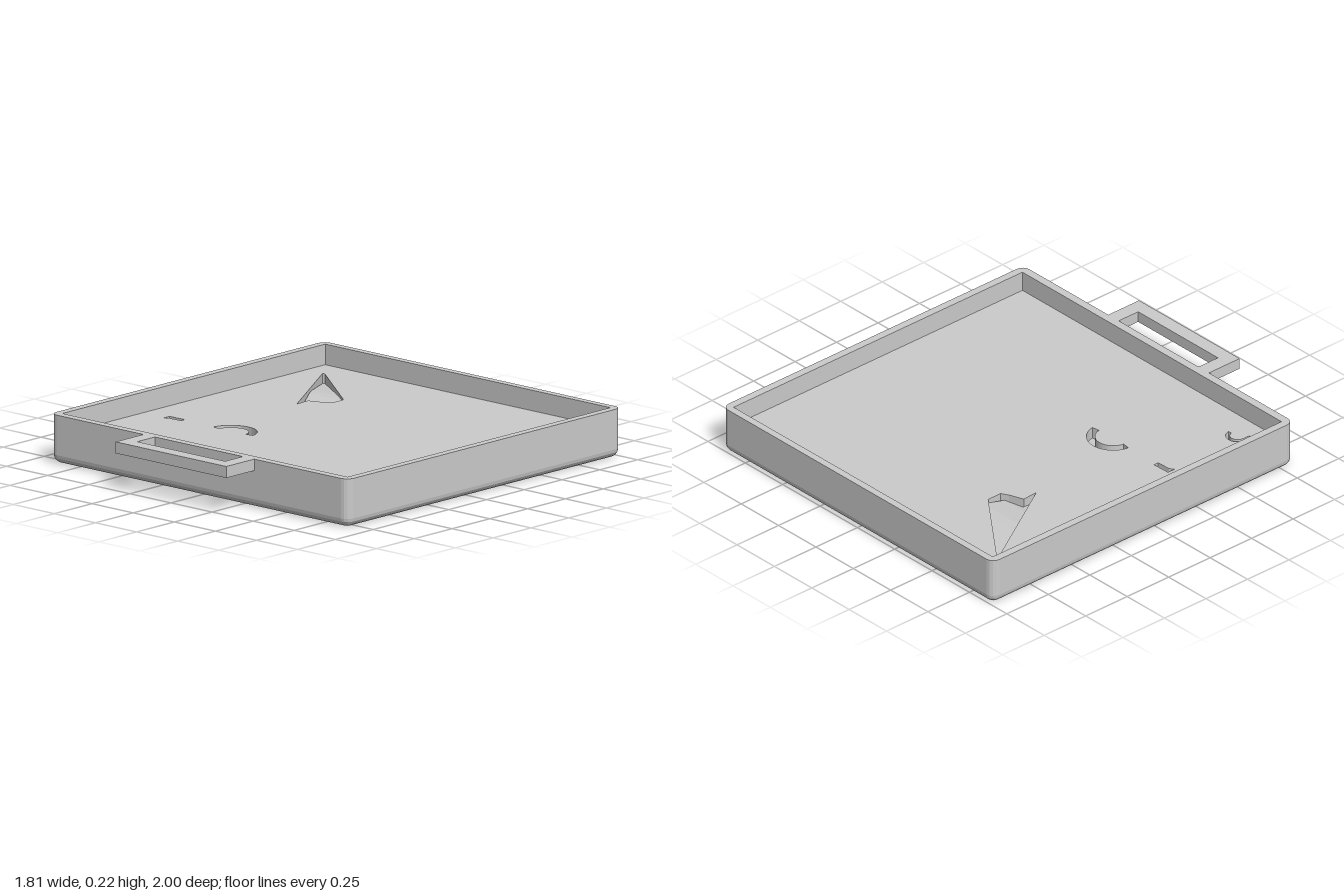
import * as THREE from 'three';

const W = 0.905, BACK = -1, FRONT = 0.815, TOP = 0.225, FLOOR = 0.13, PIT = 0.075, R = 0.04;
const CZ = (BACK + FRONT) / 2, D = (FRONT - BACK) / 2;

const material = new THREE.MeshStandardMaterial({ color: 0xcccccc, flatShading: true, side: THREE.DoubleSide });

function add(group, name, geometry) {
  const mesh = new THREE.Mesh(geometry, material);
  mesh.name = name;
  group.add(mesh);
}

// Points of a rounded rectangle in x, z, pulled in by inset
function roundedRect(inset) {
  const pts = [], r = R - inset;
  [[1, 1], [-1, 1], [-1, -1], [1, -1]].forEach(([sx, sz], q) => {
    for (let i = 0; i <= 4; i++) {
      const a = (q + i / 4) * Math.PI / 2;
      pts.push(new THREE.Vector2(sx * (W - R) + r * Math.cos(a), CZ + sz * (D - R) + r * Math.sin(a)));
    }
  });
  return pts;
}

const rect = (x0, z0, x1, z1) => [[x0, z0], [x1, z0], [x1, z1], [x0, z1]].map(p => new THREE.Vector2(...p));
const points = list => list.map(p => new THREE.Vector2(...p));

// Plan outline in x, z with holes, extruded from yTop down to yBottom
function slab(outline, holes, yTop, yBottom) {
  const shape = new THREE.Shape(outline);
  shape.holes = holes.map(h => new THREE.Path(h));
  const g = new THREE.ExtrudeGeometry(shape, { depth: yTop - yBottom, bevelEnabled: false });
  return g.rotateX(Math.PI / 2).translate(0, yTop, 0);
}

// Arc-shaped groove outline
function arch(cx, cz, outer, inner, a0, a1) {
  const pts = [], n = 16;
  for (let i = 0; i <= n; i++) pts.push([outer, a0 + (a1 - a0) * i / n]);
  for (let i = n; i >= 0; i--) pts.push([inner, a0 + (a1 - a0) * i / n]);
  return pts.map(([r, a]) => new THREE.Vector2(cx + r * Math.cos(a), cz + r * Math.sin(a)));
}

// Closed base with a filleted lower edge
function baseGeometry() {
  const rings = [];
  for (let i = 0; i <= 4; i++) {
    const a = i / 4 * Math.PI / 2;
    rings.push([R * (1 - Math.sin(a)) * 0.99, R * (1 - Math.cos(a))]);
  }
  rings.push([0, PIT]);
  const pos = [], idx = [], n = 20;
  rings.forEach(([inset, y]) => roundedRect(inset).forEach(p => pos.push(p.x, y, p.y)));
  for (let k = 0; k < rings.length - 1; k++) {
    for (let i = 0; i < n; i++) {
      const a = k * n + i, b = k * n + (i + 1) % n;
      idx.push(a, a + n, b, b, a + n, b + n);
    }
  }
  const last = (rings.length - 1) * n;
  for (let i = 1; i < n - 1; i++) {
    idx.push(0, i, i + 1, last, last + i + 1, last + i);
  }
  const g = new THREE.BufferGeometry();
  g.setAttribute('position', new THREE.Float32BufferAttribute(pos, 3));
  g.setIndex(idx);
  g.computeVertexNormals();
  return g;
}

// Ridged bottom of the pointed recess: [z, left x, right x, y] sections
function ridgeGeometry() {
  const sections = [
    [-0.84, -0.765, -0.755, 0.085], [-0.62, -0.632, -0.464, 0.115], [-0.57, -0.602, -0.397, 0.115],
    [-0.54, -0.584, -0.37, 0.11], [-0.46, -0.536, -0.385, 0.098], [-0.43, -0.518, -0.475, 0.09], [-0.35, -0.475, -0.47, 0.08],
  ];
  const pos = [], idx = [];
  sections.forEach(([z, l, r, y]) => pos.push(l, y, z, r, y, z));
  for (let i = 0; i < sections.length - 1; i++) {
    const a = i * 2;
    idx.push(a, a + 2, a + 1, a + 1, a + 2, a + 3);
  }
  const g = new THREE.BufferGeometry();
  g.setAttribute('position', new THREE.Float32BufferAttribute(pos, 3));
  g.setIndex(idx);
  g.computeVertexNormals();
  return g;
}

export function createModel() {
  const group = new THREE.Group();
  group.name = 'tray';
  const inner = rect(-0.867, -0.965, 0.867, 0.775);

  add(group, 'base', baseGeometry());
  add(group, 'walls', slab(roundedRect(0), [inner], TOP, PIT));

  // Floor with its recesses
  const pointedRecess = points([
    [-0.765, -0.835], [-0.755, -0.84], [-0.37, -0.545], [-0.37, -0.47],
    [-0.405, -0.45], [-0.475, -0.425], [-0.47, -0.345],
  ]);
  const largeArc = arch(-0.34, 0.235, 0.12, 0.082, Math.PI * 1.04, Math.PI * 1.95);
  const slot = points([[-0.735, 0.21], [-0.645, 0.207], [-0.645, 0.232], [-0.715, 0.235], [-0.735, 0.25]]);
  const hook = [
    ...points([[-0.745, 0.69], [-0.762, 0.69]]),
    ...arch(-0.708, 0.654, 0.054, 0.036, Math.PI, Math.PI * 1.95),
  ];
  add(group, 'floor', slab(inner, [pointedRecess, largeArc, slot, hook], FLOOR, PIT));
  add(group, 'recessRidge', ridgeGeometry());

  // Front grip
  const grip = points([
    [-0.337, 0.81], [-0.267, 0.81], [-0.267, 0.932], [0.267, 0.932],
    [0.267, 0.81], [0.337, 0.81], [0.337, 1], [-0.337, 1],
  ]);
  add(group, 'handle', slab(grip, [], TOP, 0.172));
  return group;
}
